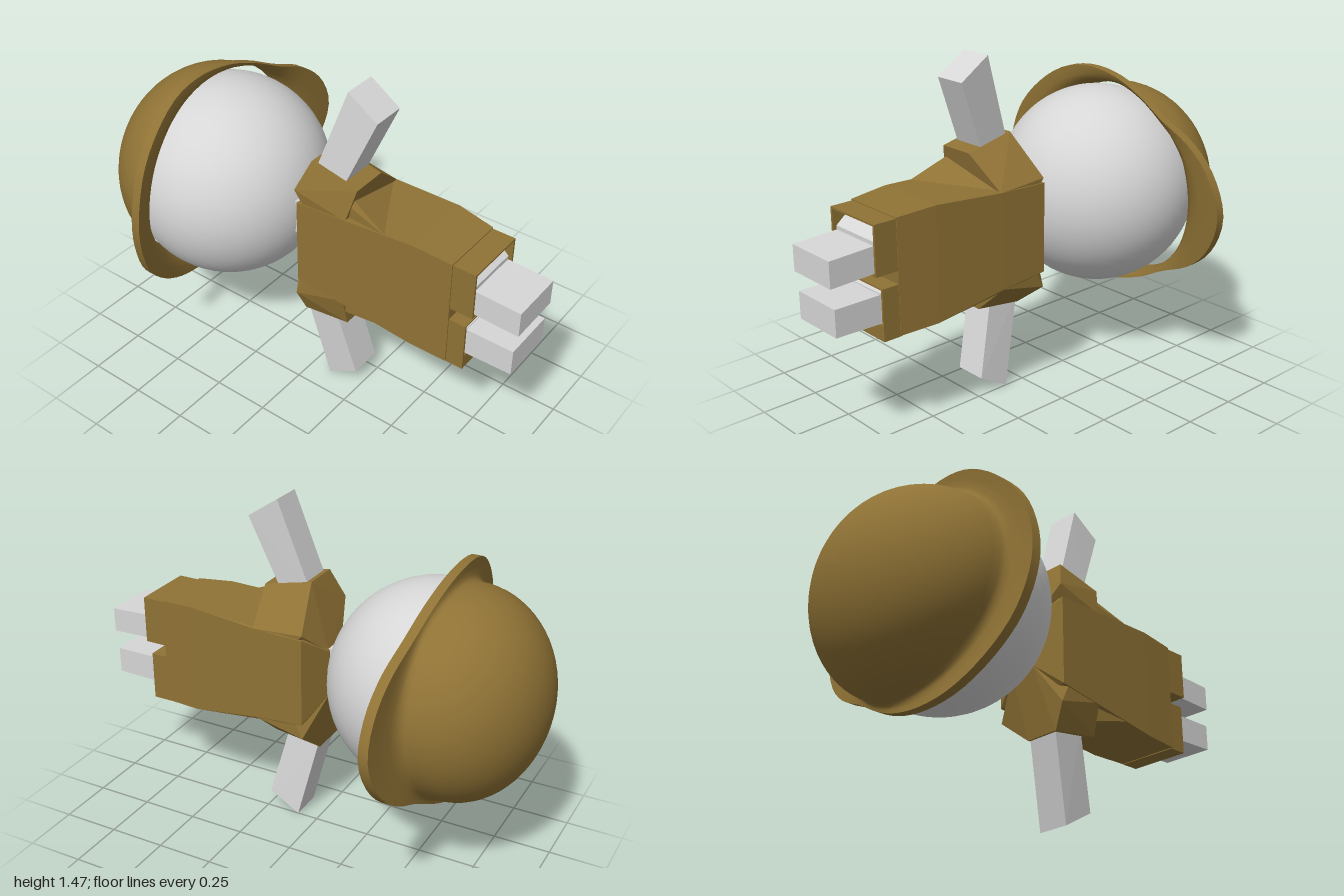
import * as THREE from 'three';
import { ConvexGeometry } from 'three/addons/geometries/ConvexGeometry.js';

const brown = new THREE.MeshStandardMaterial({ color: 0x8f7235 });
brown.name = 'khaki brown';
const pale = new THREE.MeshStandardMaterial({ color: 0xd6d6d6 });
pale.name = 'pale grey';

const V = (p) => new THREE.Vector3(...p);

// Flat-faced solid around a few corner points
function hull(points) {
  return new ConvexGeometry(points.map(V));
}

// Corners of a rectangle in x and y at depth z
function rect(z, x0, x1, y0, y1) {
  return [[x0, y0, z], [x1, y0, z], [x1, y1, z], [x0, y1, z]];
}

// Two corners sharing y and z
function pair(x0, x1, y, z) {
  return [[x0, y, z], [x1, y, z]];
}

// Smooth skin over a list of closed rings
function loft(rings) {
  const n = rings[0].length;
  const index = [];
  for (let r = 0; r < rings.length - 1; r++) {
    for (let i = 0; i < n; i++) {
      const a = r * n + i, b = r * n + (i + 1) % n;
      index.push(a, a + n, b, b, a + n, b + n);
    }
  }
  const g = new THREE.BufferGeometry();
  g.setAttribute('position', new THREE.Float32BufferAttribute(rings.flat(2), 3));
  g.setIndex(index);
  g.computeVertexNormals();
  return g;
}

// Short open trouser leg: an outer rectangle with a hole
function cuff(z0, z1, [x0, x1, y0, y1], [hx0, hx1, hy0, hy1]) {
  const box = (P, a, b, c, d) => {
    const p = new P();
    p.moveTo(a, c); p.lineTo(b, c); p.lineTo(b, d); p.lineTo(a, d); p.closePath();
    return p;
  };
  const s = box(THREE.Shape, x0, x1, y0, y1);
  s.holes.push(box(THREE.Path, hx0, hx1, hy0, hy1));
  return new THREE.ExtrudeGeometry(s, { depth: z1 - z0, bevelEnabled: false }).translate(0, 0, z0);
}

export function createModel() {
  const model = new THREE.Group();
  const add = (name, geometry, material) => {
    const m = new THREE.Mesh(geometry, material);
    m.name = name;
    model.add(m);
    return m;
  };

  // Head and neck
  add('head', new THREE.SphereGeometry(0.44, 48, 32).translate(-0.065, 0.785, -0.51), pale);
  add('neck', new THREE.BoxGeometry(0.14, 0.16, 0.08).translate(-0.075, 0.78, -0.08), pale);

  // Hat: egg-shaped brim outline, blended into an elliptical dome
  const cx = -0.045, cy = 0.79, rx = 0.465, ry = 0.437;
  const half = [[0.61, 0.09], [0.55, 0.19], [0.45, 0.275], [0.3, 0.345], [0.15, 0.425], [0, 0.48],
    [-0.16, 0.5], [-0.31, 0.475], [-0.45, 0.39], [-0.56, 0.265], [-0.615, 0.12]];
  const outline = [[0.63, 0], ...half, [-0.63, 0], ...half.map(([x, y]) => [x, -y]).reverse()];
  const curve = new THREE.CatmullRomCurve3(outline.map(([x, y]) => new THREE.Vector3(x, cy + y, 0)), true);
  const edge = curve.getSpacedPoints(72).slice(0, 72);
  const rimZ = (y) => {
    const t = (y - cy) / 0.5;
    return -0.505 - 0.075 * t * t + 0.03 * t;
  };
  const brimRing = (blend, dz) => edge.map((p) => {
    const a = Math.atan2(p.y - cy, p.x - cx);
    const x = THREE.MathUtils.lerp(cx + rx * Math.cos(a), p.x, blend);
    const y = THREE.MathUtils.lerp(cy + ry * Math.sin(a), p.y, blend);
    return [x, y, rimZ(y) + dz];
  });
  const domeRing = (t) => {
    const s = Math.sin(t), c = Math.max(Math.cos(t), 0.001);
    return brimRing(0, -0.085).map(([x, y, z]) =>
      [cx + (x - cx) * c, cy + (y - cy) * c, z * (1 - s) - s]);
  };
  const dome = [];
  for (let i = 0; i <= 18; i++) dome.push(domeRing((i / 18) * Math.PI / 2));
  add('hatUnderside', loft([brimRing(-0.12, -0.11), brimRing(0, -0.065), brimRing(0.2, -0.035),
    brimRing(0.5, -0.012), brimRing(1, 0)]), brown);
  add('hatRim', loft([brimRing(1, 0), brimRing(1, -0.04)]), brown);
  add('hatTop', loft([brimRing(1, -0.04), brimRing(0.6, -0.045), brimRing(0.25, -0.052),
    brimRing(0.07, -0.065), ...dome]), brown);

  // Torso, tapering toward the legs
  add('torso', hull([
    ...rect(0.71, -0.205, 0.085, 0.465, 0.95),
    ...rect(0.54, -0.215, 0.11, 0.475, 0.965),
    ...rect(0.22, -0.225, 0.13, 0.53, 0.945),
    ...rect(0, -0.24, 0.135, 0.55, 0.94),
    ...rect(-0.06, -0.12, 0, 0.65, 0.85),
  ]), brown);

  // Shoulders with short sleeves
  add('leftShoulder', hull([
    ...pair(-0.19, -0.03, 1.13, 0.04), ...pair(-0.19, -0.03, 1.08, 0.26),
    [-0.24, 1.0, -0.01], [0.13, 0.96, 0], ...pair(-0.225, 0.13, 0.945, 0.23),
    ...pair(-0.12, 0, 0.85, -0.055), ...pair(-0.23, 0.13, 0.9, 0.05),
  ]), brown);
  add('rightShoulder', hull([
    ...pair(-0.19, -0.03, 0.36, 0), ...pair(-0.19, -0.03, 0.39, 0.22),
    [-0.24, 0.47, -0.01], [0.13, 0.48, 0], ...pair(-0.225, 0.13, 0.53, 0.22),
    ...pair(-0.12, 0, 0.65, -0.06), ...pair(-0.23, 0.13, 0.58, 0.05),
  ]), brown);

  // Slanted folds where the sleeves meet the chest
  add('leftFold', hull([[-0.19, 1.03, 0.25], [-0.22, 0.955, 0.42], [0.12, 0.95, 0.22],
    [-0.2, 0.9, 0.2], [-0.19, 1.04, 0.1]]), brown);
  add('rightFold', hull([[-0.19, 0.45, 0.22], [-0.22, 0.495, 0.38], [0.12, 0.53, 0.22],
    [-0.2, 0.6, 0.2], [-0.19, 0.43, 0.1]]), brown);

  // Arms
  add('leftArm', hull([
    ...pair(-0.145, 0, 1.47, 0.18), ...pair(-0.145, 0, 1.38, 0.315),
    ...pair(-0.18, -0.035, 1.1, 0.055), ...pair(-0.18, -0.035, 1.05, 0.18),
  ]), pale);
  add('rightArm', hull([
    ...pair(-0.145, 0, 0, 0.095), ...pair(-0.145, 0, 0.08, 0.235),
    ...pair(-0.18, -0.035, 0.39, 0.005), ...pair(-0.18, -0.035, 0.42, 0.15),
  ]), pale);

  // Trouser legs
  add('leftTrouserLeg', cuff(0.7, 0.81, [-0.2, 0.083, 0.735, 0.945], [-0.19, 0.073, 0.743, 0.937]), brown);
  add('rightTrouserLeg', cuff(0.7, 0.785, [-0.2, 0.083, 0.462, 0.68], [-0.19, 0.073, 0.525, 0.674]), brown);

  // Legs, with wider roots sloping back into the trousers
  add('leftLeg', hull([...rect(0.75, -0.18, 0.06, 0.744, 0.855), ...rect(0.998, -0.18, 0.06, 0.735, 0.845)]), pale);
  add('rightLeg', hull([...rect(0.75, -0.18, 0.06, 0.53, 0.65), ...rect(0.985, -0.18, 0.06, 0.535, 0.65)]), pale);
  add('leftLegRoot', hull([...rect(0.712, -0.188, 0.071, 0.745, 0.935), ...rect(0.8, -0.18, 0.06, 0.745, 0.87)]), pale);
  add('rightLegRoot', hull([...rect(0.712, -0.188, 0.071, 0.527, 0.672), ...rect(0.78, -0.18, 0.06, 0.53, 0.655)]), pale);

  return model;
}
